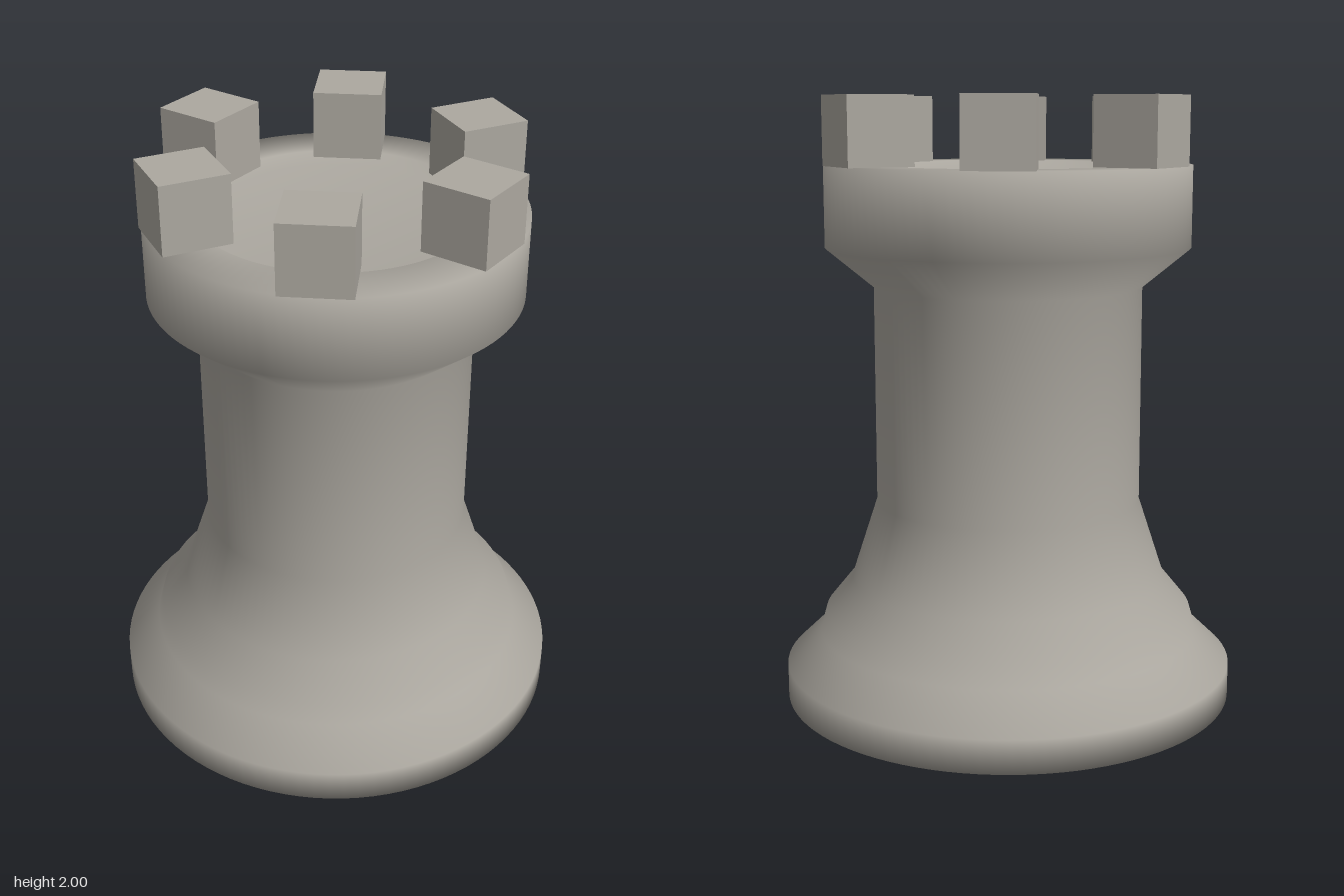
import * as THREE from 'three';

export function createModel() {
  const model = new THREE.Group();
  const stone = new THREE.MeshStandardMaterial({ color: 0xaca8a0 });
  stone.name = 'warm grey stone';

  // Turned body: foot, flared skirt, shaft, collar and recessed top
  const profile = [
    [0, 0], [0.755, 0], [0.755, 0.11], [0.64, 0.22], [0.62, 0.29],
    [0.53, 0.4], [0.443, 0.665], [0.443, 1.385], [0.6, 1.515],
    [0.6, 1.78], [0.445, 1.78], [0.445, 1.73], [0, 1.73],
  ].map(([r, y]) => new THREE.Vector2(r, y));
  const body = new THREE.Mesh(new THREE.LatheGeometry(profile, 96), stone);
  body.name = 'turnedBody';
  model.add(body);

  // Ring of six battlement blocks
  const battlements = new THREE.Group();
  battlements.name = 'battlements';
  const blockGeometry = new THREE.BoxGeometry(0.22, 0.22, 0.22);
  const radius = 0.49;
  for (let i = 0; i < 6; i++) {
    const angle = (i * Math.PI) / 3;
    const block = new THREE.Mesh(blockGeometry, stone);
    block.name = `battlement${i + 1}`;
    block.position.set(Math.sin(angle) * radius, 1.89, Math.cos(angle) * radius);
    block.rotation.y = angle;
    battlements.add(block);
  }
  model.add(battlements);

  return model;
}
